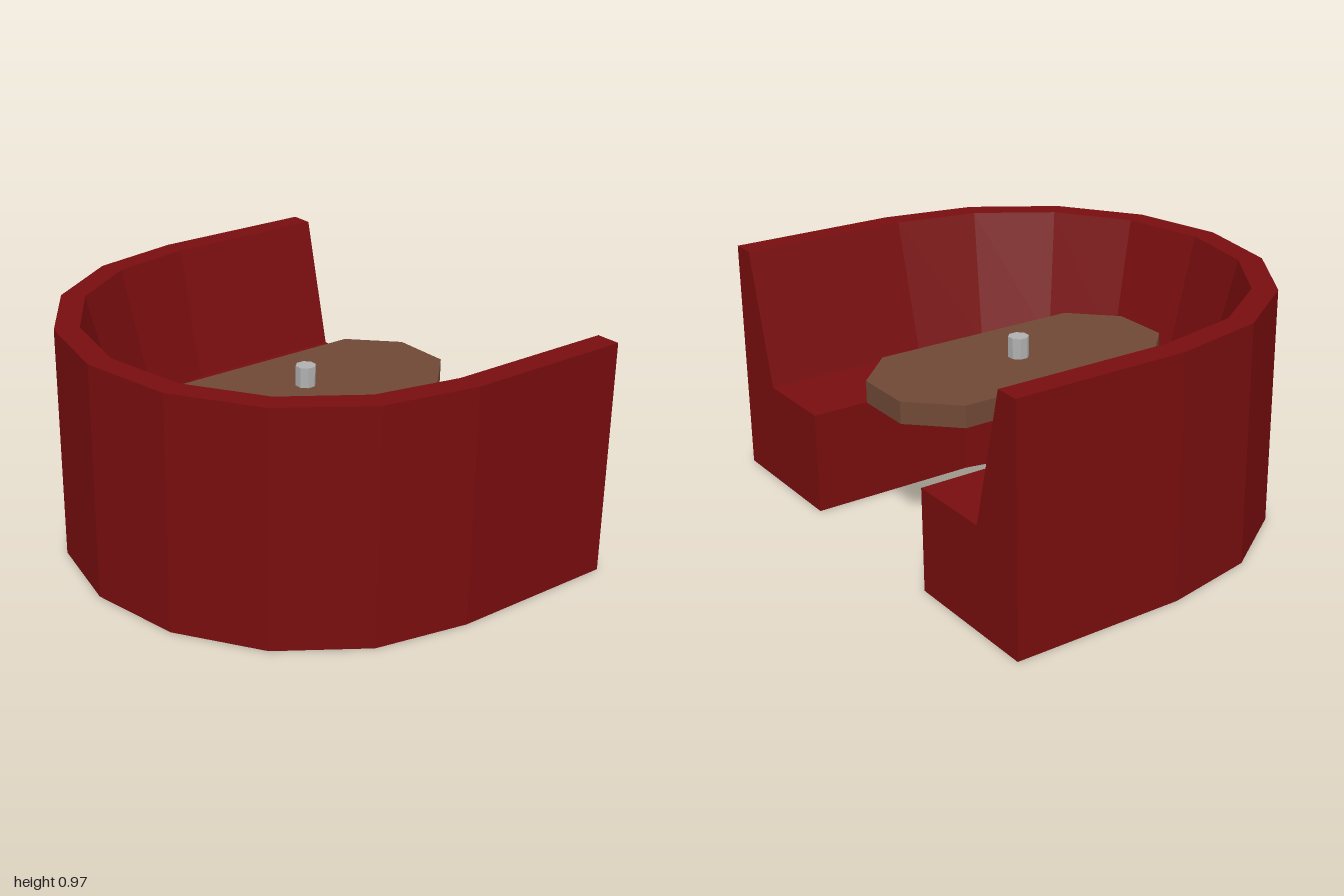
import * as THREE from 'three';

const CX = 0.145; // centre of the curved back, and of the table leg

const flat = (geo) => {
  const g = geo.index ? geo.toNonIndexed() : geo;
  g.computeVertexNormals();
  return g;
};

const part = (name, geo, material) => {
  const mesh = new THREE.Mesh(flat(geo), material);
  mesh.name = name;
  return mesh;
};

// Octagonal column or cone with a flat side facing +x
function octagon(name, rTop, rBottom, y0, y1, material) {
  const geo = new THREE.CylinderGeometry(rTop, rBottom, y1 - y0, 8);
  geo.rotateY(Math.PI / 8).translate(CX, (y0 + y1) / 2, 0);
  return part(name, geo, material);
}

// Seat-and-backrest section swept along a U
function boothGeometry() {
  const profile = [[1, 0], [1, 0.97], [0.9, 0.97], [0.76, 0.42], [0.4, 0.42], [0.4, 0]];
  const stations = [profile.map(([r, y]) => [0.85, y, r])];
  for (let i = 0; i <= 8; i++) {
    const a = Math.PI / 2 + (i * Math.PI) / 8;
    stations.push(profile.map(([r, y]) => [CX + r * Math.cos(a), y, r * Math.sin(a)]));
  }
  stations.push(profile.map(([r, y]) => [0.85, y, -r]));

  const pos = [];
  const tri = (a, b, c) => pos.push(...a, ...b, ...c);
  const n = profile.length;
  for (let i = 0; i < stations.length - 1; i++) {
    for (let j = 0; j < n; j++) {
      const k = (j + 1) % n;
      const [s, t] = [stations[i], stations[i + 1]];
      tri(s[j], s[k], t[k]);
      tri(s[j], t[k], t[j]);
    }
  }
  // Open ends of the U
  const first = stations[0], last = stations[stations.length - 1];
  for (let j = 1; j < n - 1; j++) {
    tri(first[0], first[j + 1], first[j]);
    tri(last[0], last[j], last[j + 1]);
  }
  const geo = new THREE.BufferGeometry();
  geo.setAttribute('position', new THREE.Float32BufferAttribute(pos, 3));
  return geo;
}

// Long table top with clipped corners
function tableTopGeometry() {
  const outline = [
    [-0.3, -0.3], [0.59, -0.3], [0.765, -0.125], [0.765, 0.125],
    [0.59, 0.3], [-0.3, 0.3], [-0.47, 0.125], [-0.47, -0.125],
  ].map(([x, y]) => new THREE.Vector2(x, y));
  const geo = new THREE.ExtrudeGeometry(new THREE.Shape(outline), { depth: 0.09, bevelEnabled: false });
  return geo.rotateX(-Math.PI / 2).translate(0, 0.55, 0);
}

export function createModel() {
  const red = new THREE.MeshStandardMaterial({ color: 0x780d0e });
  red.name = 'red upholstery';
  const wood = new THREE.MeshStandardMaterial({ color: 0x704836 });
  wood.name = 'brown wood';
  const metal = new THREE.MeshStandardMaterial({ color: 0xb0b0b0 });
  metal.name = 'grey metal';

  const table = new THREE.Group();
  table.name = 'table';
  table.add(
    part('tableTop', tableTopGeometry(), wood),
    octagon('tableTopSupport', 0.178, 0.104, 0.515, 0.55, wood),
    octagon('tableFoot', 0.243, 0.243, 0, 0.065, metal),
    octagon('tableFootTaper', 0.104, 0.243, 0.065, 0.125, metal),
    octagon('tableLeg', 0.104, 0.104, 0.125, 0.515, metal),
    octagon('tablePin', 0.042, 0.042, 0.64, 0.725, metal),
  );

  const model = new THREE.Group();
  model.name = 'boothWithTable';
  model.add(part('boothSeat', boothGeometry(), red), table);
  return model;
}
